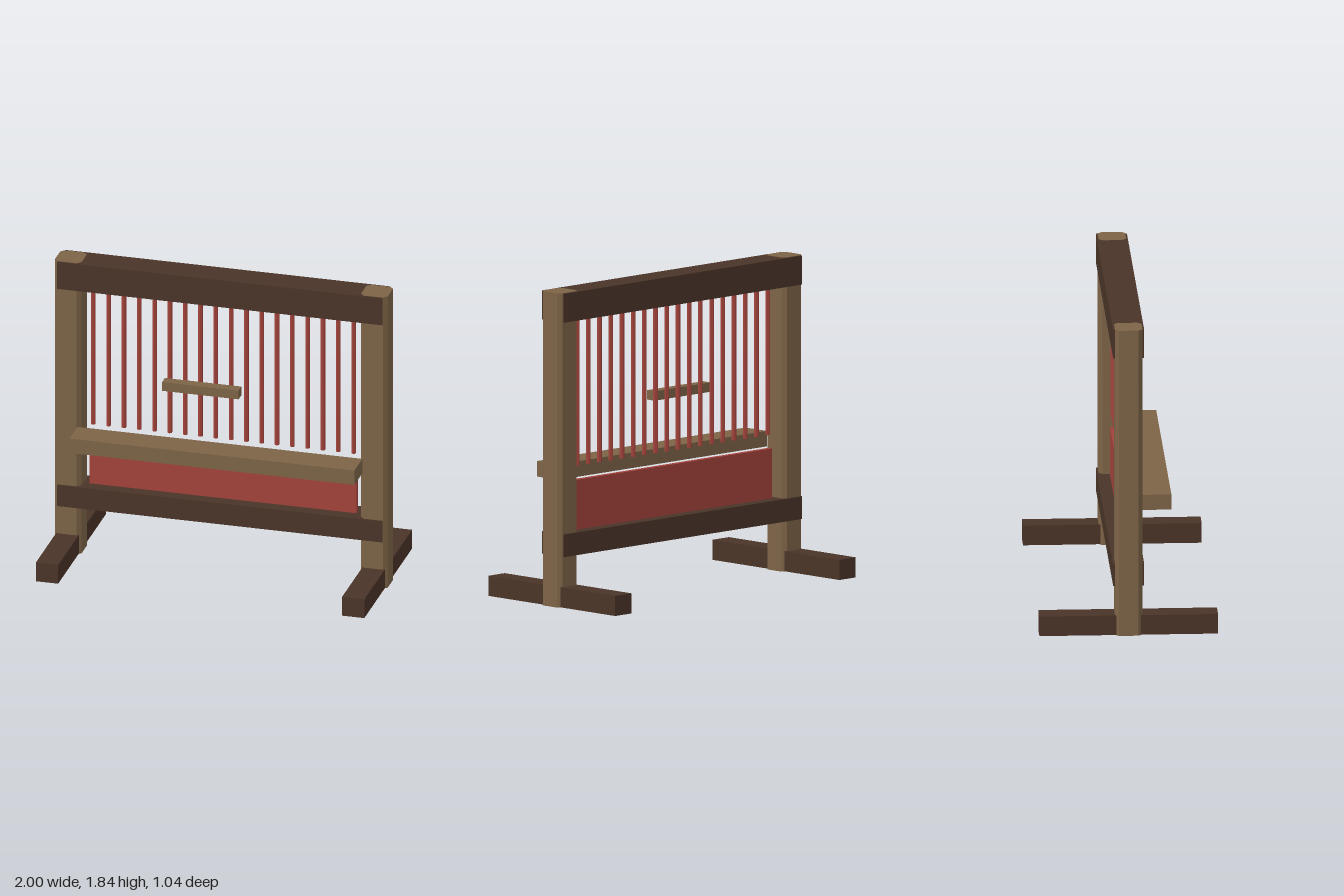
import * as THREE from 'three';

const dark = new THREE.MeshStandardMaterial({ color: 0x4a3428, flatShading: true });
const tan = new THREE.MeshStandardMaterial({ color: 0x7d6347, flatShading: true });
const red = new THREE.MeshStandardMaterial({ color: 0xa3433b, flatShading: true });

export function createModel() {
  const model = new THREE.Group();

  function add(name, geometry, material, parent = model) {
    const mesh = new THREE.Mesh(geometry, material);
    mesh.name = name;
    parent.add(mesh);
    return mesh;
  }

  // Box given by its limits along each axis
  function box(name, material, [x0, x1], [y0, y1], [z0, z1], parent) {
    const mesh = add(name, new THREE.BoxGeometry(x1 - x0, y1 - y0, z1 - z0), material, parent);
    mesh.position.set((x0 + x1) / 2, (y0 + y1) / 2, (z0 + z1) / 2);
  }

  // Post section: square with cut corners
  const r = 0.08, c = 0.057;
  const section = new THREE.Shape([
    [c, -r], [r, -c], [r, c], [c, r], [-c, r], [-r, c], [-r, -c], [-c, -r],
  ].map(([x, y]) => new THREE.Vector2(x, y)));
  const postGeometry = new THREE.ExtrudeGeometry(section, { depth: 1.844, bevelEnabled: false });
  postGeometry.rotateX(-Math.PI / 2);

  // Posts and feet, one pair per side
  for (const [side, s] of [['left', 1], ['right', -1]]) {
    const post = add(side + 'Post', postGeometry, tan);
    post.position.set(s * 0.92, -0.002, 0);
    box(side + 'Foot', dark, [s * 0.92 - 0.067, s * 0.92 + 0.067], [0, 0.118], [-0.518, 0.518]);
  }

  // Horizontal beams
  box('topRail', dark, [-0.978, 0.976], [1.67, 1.84], [-0.09, 0.09]);
  box('lowerRail', dark, [-0.978, 0.976], [0.295, 0.428], [-0.09, 0.09]);
  box('frontBeam', tan, [-0.858, 0.854], [0.715, 0.806], [0.08, 0.254]);

  // Woven cloth panel
  box('clothPanel', red, [-0.805, 0.802], [0.4, 0.72], [-0.016, 0.016]);

  // Hanging warp threads
  const threads = new THREE.Group();
  threads.name = 'warpThreads';
  model.add(threads);
  const threadGeometry = new THREE.CylinderGeometry(0.014, 0.014, 0.9, 6);
  for (let i = 0; i < 18; i++) {
    const thread = add('warpThread', threadGeometry, red, threads);
    thread.position.set(-0.785 + i * 0.092, 1.25, 0);
  }

  // Shuttle resting against the threads
  box('shuttle', tan, [-0.347, 0.113], [1.1, 1.155], [0.03, 0.092]);

  return model;
}
